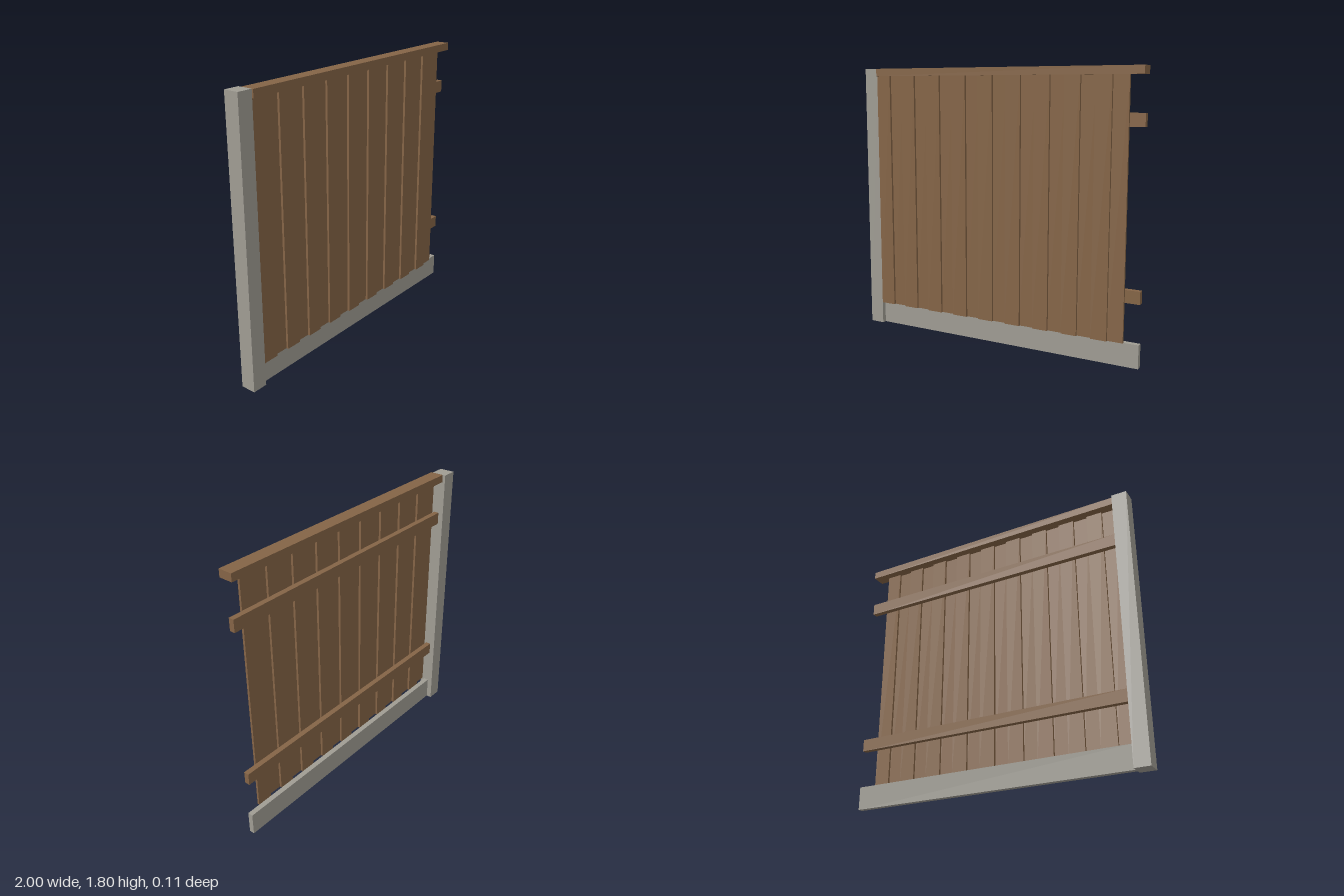
import * as THREE from 'three';

const wood = new THREE.MeshStandardMaterial({ name: 'brown wood', color: 0x846446 });
const concrete = new THREE.MeshStandardMaterial({ name: 'grey concrete', color: 0x9f9c93 });

// Box given by its minimum and maximum on each axis
function block(name, material, [x0, x1], [y0, y1], [z0, z1]) {
  const geometry = new THREE.BoxGeometry(x1 - x0, y1 - y0, z1 - z0);
  const mesh = new THREE.Mesh(geometry, material);
  mesh.name = name;
  mesh.position.set((x0 + x1) / 2, (y0 + y1) / 2, (z0 + z1) / 2);
  return mesh;
}

export function createModel() {
  const fence = new THREE.Group();
  fence.name = 'fencePanel';

  const span = [-0.9, 1];
  const railDepth = [-0.02, 0.015];

  // Concrete post and gravel board
  fence.add(block('post', concrete, [-1, -0.9], [0, 1.8], [-0.055, 0.045]));
  fence.add(block('gravelBoard', concrete, span, [0, 0.15], railDepth));

  // Horizontal rails behind the boards, and the capping rail
  fence.add(block('lowerRail', wood, span, [0.4, 0.48], railDepth));
  fence.add(block('upperRail', wood, span, [1.45, 1.53], railDepth));
  fence.add(block('cappingRail', wood, span, [1.75, 1.8], [-0.035, 0.055]));

  // Upright boards, alternating between a front and a back layer with a slight overlap
  const boards = new THREE.Group();
  boards.name = 'boards';
  for (let i = 0; i < 18; i++) {
    const x = -0.9 + i * 0.1;
    const inFront = i % 2 === 0;
    boards.add(block(inFront ? 'frontBoard' : 'backBoard', wood,
      [x, x + 0.105], [0.15, 1.75], inFront ? [0.03, 0.045] : [0.015, 0.03]));
  }
  fence.add(boards);

  return fence;
}
